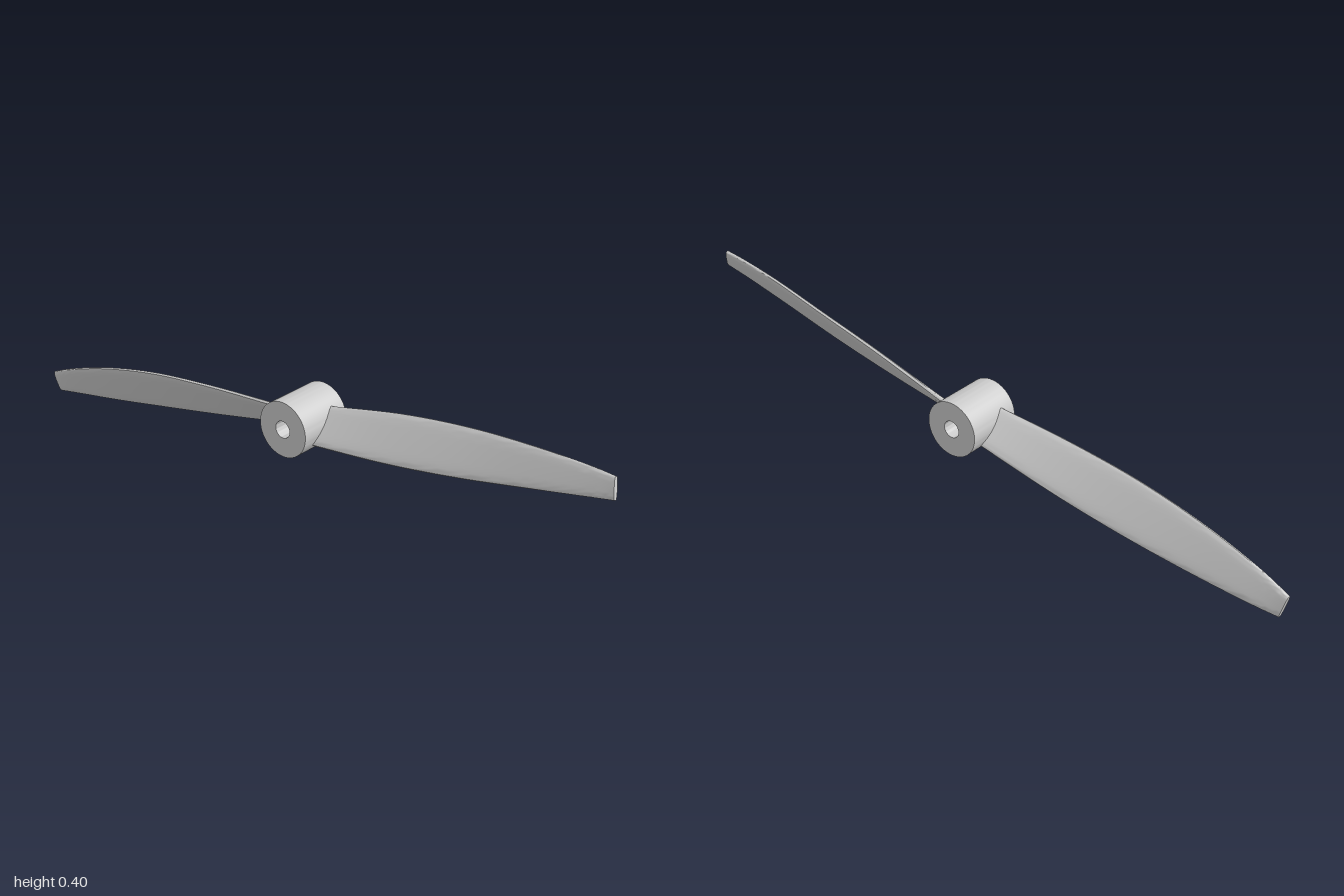
import * as THREE from 'three';
import { toCreasedNormals } from 'three/addons/utils/BufferGeometryUtils.js';

const material = new THREE.MeshStandardMaterial({ color: 0xcccccc });
const HUB = { x: -0.004, y: 0.215, radius: 0.082, bore: 0.025, length: 0.17 };

// Smooth edge curve through a few points
const edge = (points) => new THREE.CatmullRomCurve3(points.map((p) => new THREE.Vector3(...p)));

// Twisted blade: rounded-rectangle sections swept between its front and back edges
function bladeGeometry(frontPoints, backPoints, side) {
  const front = edge(frontPoints), back = edge(backPoints);
  const rows = 32, sides = 28;
  const axis = new THREE.Vector3(side, 0, 0);
  const positions = [], index = [];
  const round = (v, e) => Math.sign(v) * Math.abs(v) ** e;
  for (let i = 0; i <= rows; i++) {
    const f = front.getPoint(i / rows), b = back.getPoint(i / rows);
    const mid = f.clone().add(b).multiplyScalar(0.5);
    const half = b.clone().sub(f).multiplyScalar(0.5);
    const normal = axis.clone().cross(half).normalize();
    const thickness = 0.009 - 0.001 * (i / rows);
    for (let j = 0; j < sides; j++) {
      const a = (j / sides) * Math.PI * 2;
      const p = mid.clone()
        .addScaledVector(half, round(Math.cos(a), 0.6))
        .addScaledVector(normal, thickness * round(Math.sin(a), 0.6));
      positions.push(p.x, p.y, p.z);
    }
  }
  for (let i = 0; i < rows; i++) {
    for (let j = 0; j < sides; j++) {
      const a = i * sides + j, b = i * sides + (j + 1) % sides;
      index.push(a, b, a + sides, b, b + sides, a + sides);
    }
  }
  // Flat cap at the tip
  const last = rows * sides;
  for (let j = 1; j < sides - 1; j++) index.push(last, last + j, last + j + 1);
  const geometry = new THREE.BufferGeometry();
  geometry.setAttribute('position', new THREE.Float32BufferAttribute(positions, 3));
  geometry.setIndex(index);
  return toCreasedNormals(geometry, 0.7);
}

function hubGeometry() {
  const shape = new THREE.Shape().absarc(0, 0, HUB.radius, 0, Math.PI * 2, false);
  shape.holes.push(new THREE.Path().absarc(0, 0, HUB.bore, 0, Math.PI * 2, true));
  const geometry = new THREE.ExtrudeGeometry(shape, { depth: HUB.length, bevelEnabled: false, curveSegments: 32 });
  geometry.translate(HUB.x, HUB.y, -HUB.length / 2);
  return toCreasedNormals(geometry, 0.6);
}

export function createModel() {
  const group = new THREE.Group();
  group.name = 'propeller';
  const add = (name, geometry) => {
    const mesh = new THREE.Mesh(geometry, material);
    mesh.name = name;
    group.add(mesh);
  };

  add('hub', hubGeometry());

  // Left blade: low edge forward, high edge back
  add('leftBlade', bladeGeometry(
    [[0.055, 0.172, 0.042], [0.32, 0.208, 0.046], [0.55, 0.25, 0.047], [0.76, 0.297, 0.047], [0.92, 0.333, 0.045], [1.0, 0.35, 0.042]],
    [[0.055, 0.258, -0.043], [0.32, 0.323, -0.035], [0.55, 0.364, -0.021], [0.76, 0.391, 0.002], [0.92, 0.403, 0.018], [0.988, 0.404, 0.026]],
    1));

  // Right blade: high edge forward, low edge back
  add('rightBlade', bladeGeometry(
    [[-0.06, 0.254, 0.042], [-0.32, 0.234, 0.046], [-0.55, 0.204, 0.047], [-0.76, 0.155, 0.046], [-0.92, 0.101, 0.043], [-1.0, 0.067, 0.038]],
    [[-0.06, 0.17, -0.041], [-0.32, 0.112, -0.033], [-0.55, 0.068, -0.02], [-0.76, 0.033, -0.001], [-0.92, 0.011, 0.016], [-0.985, 0.003, 0.026]],
    -1));

  return group;
}
